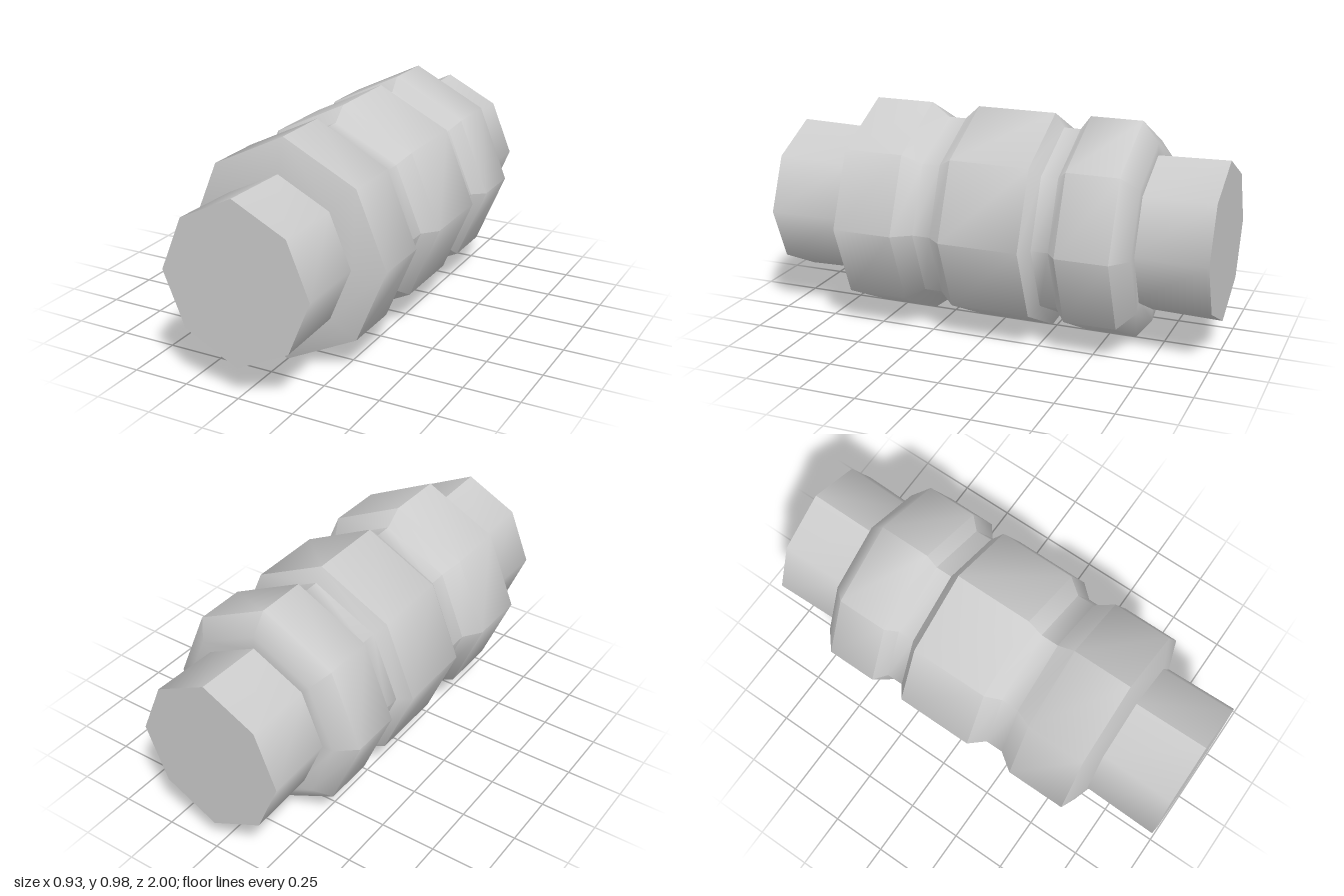
import * as THREE from 'three';
import { toCreasedNormals } from 'three/addons/utils/BufferGeometryUtils.js';

const SIDES = 8;
const CENTRE_Y = 0.49;
const CREASE = THREE.MathUtils.degToRad(51);

// Octagonal solid along z from [radius, z] pairs, slightly pointed at the top and bottom corners
function octagonalSolid(name, profile, material) {
  const points = profile.map(([r, z]) => new THREE.Vector2(r, z));
  const geometry = new THREE.LatheGeometry(points, SIDES);
  geometry.rotateX(Math.PI / 2);
  const p = geometry.attributes.position;
  for (let i = 0; i < p.count; i++) {
    if (Math.abs(p.getX(i)) < 1e-4) p.setY(i, p.getY(i) * 1.06);
  }
  const mesh = new THREE.Mesh(toCreasedNormals(geometry, CREASE), material);
  mesh.name = name;
  mesh.position.y = CENTRE_Y;
  return mesh;
}

export function createModel() {
  const group = new THREE.Group();
  group.name = 'ribbedCoupling';
  const grey = new THREE.MeshStandardMaterial({ color: 0xcccccc });

  // Inner pipe: closed ends, flaring very slightly outwards
  group.add(octagonalSolid('pipe', [
    [0, -1], [0.336, -1], [0.328, -0.66], [0.328, 0.66], [0.336, 1], [0, 1],
  ], grey));

  // Outer sleeve: three raised bands separated by two bevelled grooves
  const R = 0.463, G = 0.406;
  group.add(octagonalSolid('bandedSleeve', [
    [0.32, -0.69], [0.38, -0.69], [R, -0.62],
    [R, -0.39], [G, -0.345], [G, -0.27], [R, -0.23],
    [R, 0.125], [G, 0.19], [G, 0.27], [R, 0.35],
    [R, 0.62], [0.33, 0.665], [0.32, 0.665],
  ], grey));

  return group;
}
